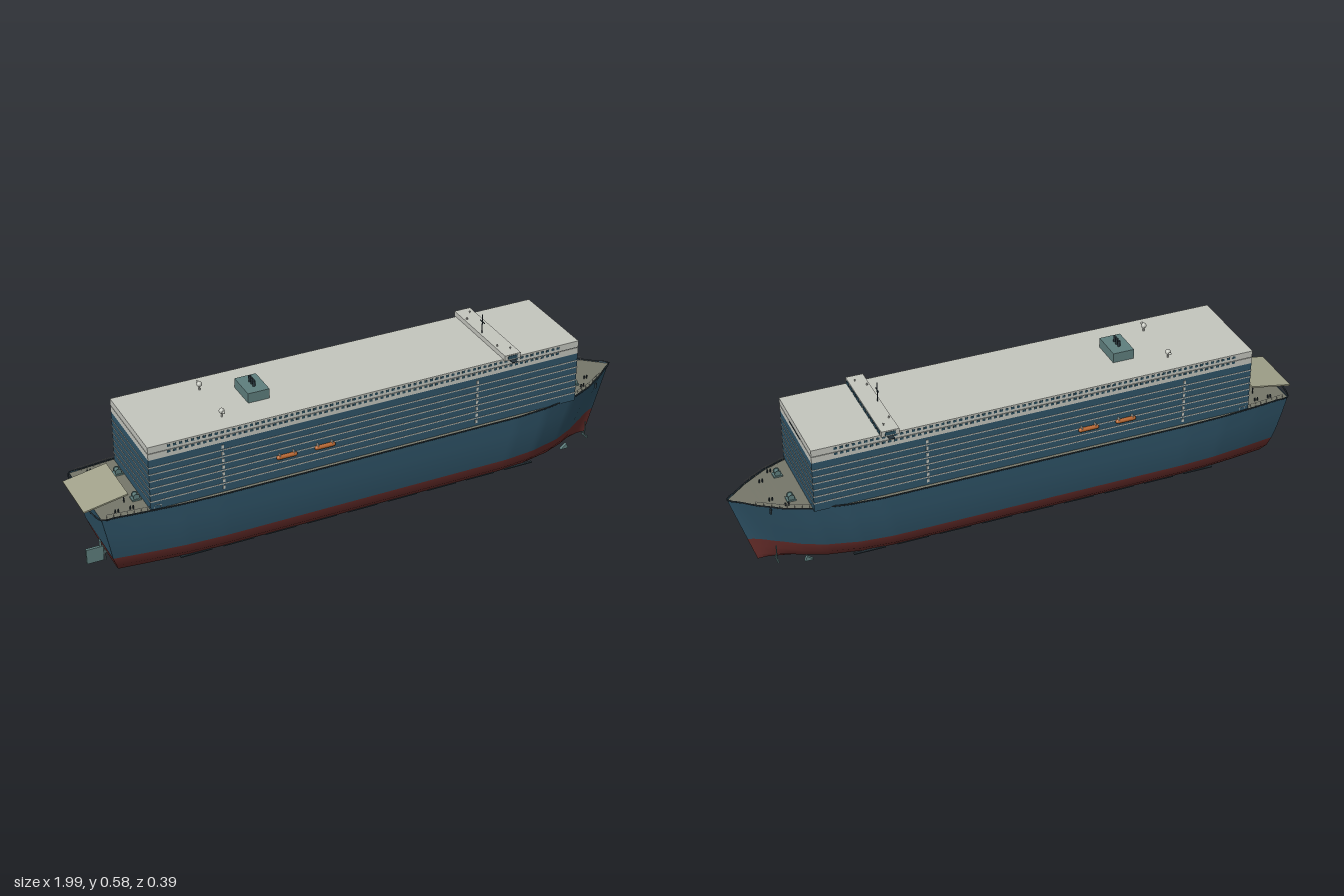
import * as THREE from 'three';
import { mergeGeometries } from 'three/addons/utils/BufferGeometryUtils.js';

const paint = (color) => new THREE.MeshStandardMaterial({ color, side: THREE.DoubleSide });
const BLUE = paint(0x2f5468), RED = paint(0x6b2f2c), DECK = paint(0x76776a), WHITE = paint(0xc4c6be);
const TEAL = paint(0x5f7f7e), DARK = paint(0x26333a), ORANGE = paint(0xb5652f), RAMP = paint(0xa3a48c);
const GLASS = paint(0x2c4e5e);

// Piecewise-linear lookup in a list of [key, value]
function lookup(table, k) {
  for (let i = 1; i < table.length; i++) {
    const [a, va] = table[i - 1], [b, vb] = table[i];
    if (k <= b) return va + (vb - va) * Math.max(0, (k - a) / (b - a));
  }
  return table[table.length - 1][1];
}

const TOP = 0.262;
const SECTION = [[0.002, 0], [0.005, 0.07], [0.02, 0.122], [0.055, 0.157], [0.09, 0.166], [0.14, 0.176], [0.2, 0.181], [TOP, 0.183]];
const PLAN = [[0, 0.84], [0.06, 0.91], [0.13, 0.975], [0.2, 1], [0.76, 1], [0.82, 0.95], [0.88, 0.82], [0.92, 0.64], [0.96, 0.36], [1, 0]];
const STERN = [[0, -0.89], [0.03, -0.902], [0.09, -0.924], [TOP, -0.96]];
const BOW = [[0, 0.905], [TOP, 0.99]];

// Point on the hull: t runs stern to bow, y is height, side is +1 or -1
function hullPoint(t, y, side) {
  const x0 = lookup(STERN, y), x1 = lookup(BOW, y);
  const fine = Math.pow(lookup(PLAN, t), 1 + (TOP - y) * 2.2);
  return new THREE.Vector3(x0 + (x1 - x0) * t, y, side * lookup(SECTION, y) * fine);
}

// Surface through a grid of points
function grid(nu, nv, fn) {
  const pos = [], idx = [];
  for (let i = 0; i <= nu; i++) for (let j = 0; j <= nv; j++) pos.push(...fn(i / nu, j / nv).toArray());
  for (let i = 0; i < nu; i++) for (let j = 0; j < nv; j++) {
    const a = i * (nv + 1) + j, b = a + nv + 1;
    idx.push(a, b, a + 1, b, b + 1, a + 1);
  }
  const g = new THREE.BufferGeometry();
  g.setAttribute('position', new THREE.Float32BufferAttribute(pos, 3));
  g.setIndex(idx);
  g.computeVertexNormals();
  return g;
}

const boxGeo = (w, h, d, x, y, z) => new THREE.BoxGeometry(w, h, d).translate(x, y, z);
const rod = (r, h, x, y, z, n = 8) => new THREE.CylinderGeometry(r, r, h, n).translate(x, y, z);

export function createModel() {
  const ship = new THREE.Group();
  ship.name = 'carCarrierShip';
  const add = (name, geo, mat) => {
    const m = new THREE.Mesh(Array.isArray(geo) ? mergeGeometries(geo) : geo, mat);
    m.name = name;
    ship.add(m);
    return m;
  };

  // Hull sides and transom in two paint bands
  const bands = [['lowerHull', RED, SECTION.slice(0, 5)], ['upperHull', BLUE, SECTION.slice(4)]];
  for (const [name, mat, rows] of bands) {
    const n = rows.length - 1;
    const yAt = (v) => rows[Math.round(v * n)][0];
    add(name + 'Left', grid(100, n, (u, v) => hullPoint(u, yAt(v), 1)), mat);
    add(name + 'Right', grid(100, n, (u, v) => hullPoint(1 - u, yAt(v), -1)), mat);
    add(name + 'Transom', grid(1, n, (u, v) => hullPoint(0, yAt(v), u * 2 - 1)), mat);
  }

  // Main deck and the rim around it
  add('mainDeck', grid(100, 1, (u, v) => hullPoint(u, TOP - 0.003, 1 - v * 2)), DECK);
  const rim = [];
  for (let i = 0; i <= 50; i++) rim.push(hullPoint(i / 50, TOP, 1));
  for (let i = 49; i >= 0; i--) rim.push(hullPoint(i / 50, TOP, -1));
  add('deckRim', new THREE.TubeGeometry(new THREE.CatmullRomCurve3(rim, true), 220, 0.0028, 5, true), DARK);

  // Car decks: blue walls separated by pale slabs
  const X0 = -0.8, X1 = 0.75, MID = (X0 + X1) / 2, LEN = X1 - X0;
  add('cargoHouse', boxGeo(LEN, 0.186, 0.33, MID, 0.351, 0), BLUE);
  const slabs = [];
  for (let y = 0.289; y < 0.44; y += 0.0252) slabs.push(boxGeo(LEN + 0.003, 0.0035, 0.333, MID, y, 0));
  add('deckSlabs', slabs, WHITE);
  add('upperDecks', [boxGeo(LEN, 0.0225, 0.332, MID, 0.4545, 0), boxGeo(LEN, 0.023, 0.332, MID, 0.4795, 0)], WHITE);
  add('upperDeckGap', boxGeo(LEN - 0.006, 0.004, 0.327, MID, 0.467, 0), DARK);
  add('houseFrontSlot', boxGeo(0.004, 0.003, 0.11, X1, 0.467, 0), DARK);

  // Cabin windows and pale vertical door columns
  const windows = [], doors = [];
  for (const s of [-1, 1]) {
    for (const y of [0.481, 0.461])
      for (let x = -0.73; x < 0.69; x += 0.02) windows.push(boxGeo(0.011, 0.008, 0.003, x, y, s * 0.1655));
    for (const x of [-0.55, 0.365])
      for (let k = 0; k < 7; k++) doors.push(boxGeo(0.008, 0.012, 0.003, x, 0.276 + k * 0.0252, s * 0.1655));
  }
  add('cabinWindows', windows, GLASS);
  add('sideDoors', doors, WHITE);

  // Bridge with wraparound glazing, wings and mast
  add('bridge', boxGeo(0.06, 0.02, 0.35, 0.49, 0.498, 0), WHITE);
  const panes = [];
  for (let k = 0; k < 10; k++) panes.push(boxGeo(0.004, 0.013, 0.025, 0.52, 0.498, (k - 4.5) * 0.0333));
  for (const s of [-1, 1]) panes.push(boxGeo(0.035, 0.012, 0.003, 0.49, 0.498, s * 0.175));
  add('bridgeWindows', panes, GLASS);
  add('bridgeWings', boxGeo(0.02, 0.002, 0.386, 0.49, 0.486, 0), DARK);
  add('mast', [rod(0.0018, 0.07, 0.47, 0.542, 0), boxGeo(0.003, 0.002, 0.03, 0.47, 0.55, 0)], DARK);
  const lamps = [];
  for (const s of [-1, 1]) {
    lamps.push(rod(0.001, 0.008, 0.5, 0.511, s * 0.14));
    lamps.push(new THREE.SphereGeometry(0.0028, 8, 6).translate(0.5, 0.514, s * 0.14));
    lamps.push(rod(0.003, 0.007, 0.47, 0.511, s * 0.105));
  }
  add('bridgeLamps', lamps, WHITE);

  // Funnel casing with three exhaust pipes
  add('funnelCasing', boxGeo(0.075, 0.035, 0.11, -0.375, 0.508, 0), TEAL);
  add('exhaustPipes', [-1, 0, 1].map((k) => rod(0.005, 0.022, -0.375, 0.535, k * 0.016, 12)), DARK);

  // Radomes on short posts
  const radomes = [];
  for (const s of [-1, 1]) {
    radomes.push(rod(0.003, 0.016, -0.52, 0.499, s * 0.093));
    radomes.push(new THREE.SphereGeometry(0.0095, 14, 10).translate(-0.52, 0.512, s * 0.093));
    radomes.push(new THREE.SphereGeometry(0.005, 10, 8).translate(-0.52, 0.513, s * 0.108));
  }
  add('radomes', radomes, WHITE);

  for (const s of [-1, 1]) {
    const side = s > 0 ? 'Left' : 'Right';
    // Lifeboats: capsule hulls hung from davits
    for (const x of [-0.333, -0.198]) {
      const boat = new THREE.CapsuleGeometry(0.0075, 0.058, 4, 10).rotateZ(Math.PI / 2);
      add('lifeboat' + side, boat.translate(x, 0.338, s * 0.173), ORANGE);
      add('davits' + side, [-0.025, 0.025].map((d) => boxGeo(0.003, 0.012, 0.016, x + d, 0.345, s * 0.17)), WHITE);
    }

    // Bilge keel in short lengths
    const keel = [];
    for (let k = 0; k < 9; k++) keel.push(boxGeo(0.11, 0.004, 0.008, -0.64 + k * 0.15, 0.023, s * 0.124));
    add('bilgeKeel' + side, keel, DARK);

    // Mooring winches and bollards fore and aft
    const winches = [], bollards = [];
    for (const [x, z] of [[0.8, 0.073], [-0.82, 0.082]]) {
      winches.push(boxGeo(0.03, 0.005, 0.028, x, 0.2625, s * z));
      winches.push(new THREE.CylinderGeometry(0.008, 0.008, 0.018, 12).rotateX(Math.PI / 2).translate(x, 0.272, s * z));
      for (const d of [-0.01, 0.01])
        winches.push(new THREE.CylinderGeometry(0.011, 0.011, 0.002, 12).rotateX(Math.PI / 2).translate(x, 0.272, s * z + d));
    }
    for (const [x, z] of [[0.86, 0.055], [0.82, 0.1], [-0.9, 0.13], [-0.85, 0.13]])
      for (const d of [-0.005, 0.005]) bollards.push(rod(0.0025, 0.012, x + d, 0.265, s * z));
    add('mooringWinches' + side, winches, TEAL);
    add('bollards' + side, bollards, DARK);

    // Open railings along the deck edge
    const rails = [];
    for (const [t0, t1] of [[0.01, 0.1], [0.87, 0.96]]) {
      const edge = [];
      for (let i = 0; i <= 8; i++) {
        const p = hullPoint(t0 + (t1 - t0) * i / 8, TOP, s);
        p.z *= 0.96;
        rails.push(rod(0.0007, 0.014, p.x, TOP + 0.005, p.z, 5));
        edge.push(p.setY(TOP + 0.012));
      }
      rails.push(new THREE.TubeGeometry(new THREE.CatmullRomCurve3(edge), 16, 0.0008, 5));
    }
    add('railing' + side, rails, WHITE);

    // Anchor on its chain, and the hawse pipe above
    const ax = 0.86;
    add('anchor' + side, [rod(0.002, 0.06, ax, 0.063, s * 0.074), boxGeo(0.006, 0.004, 0.032, ax, 0.036, s * 0.074),
      boxGeo(0.004, 0.012, 0.004, ax, 0.04, s * 0.074 + 0.014), boxGeo(0.004, 0.012, 0.004, ax, 0.04, s * 0.074 - 0.014)], TEAL);
    add('hawsePipe' + side, rod(0.004, 0.018, 0.875, 0.25, s * 0.1), DARK);

    // Stabiliser fin near the bow
    const fin = new THREE.Shape([[0, 0], [0.03, 0], [0.022, 0.018]].map((p) => new THREE.Vector2(...p)));
    add('stabiliserFin' + side, new THREE.ExtrudeGeometry(fin, { depth: 0.012, bevelEnabled: false })
      .translate(0.745, 0.026, s * 0.1 - 0.006), TEAL);
  }

  // Stern ramp, tilted down towards the stern
  const ramp = add('sternRamp', new THREE.BoxGeometry(0.152, 0.005, 0.2), RAMP);
  ramp.position.set(-0.924, 0.282, 0);
  ramp.rotation.z = 0.18;
  add('rampSupports', [-0.085, 0.085].map((z) => rod(0.002, 0.033, -0.86, 0.277, z)), DARK);

  // Rudder and propeller
  add('rudder', [boxGeo(0.058, 0.054, 0.01, -0.943, 0.031, 0), rod(0.004, 0.03, -0.922, 0.07, 0)], TEAL);
  const prop = [new THREE.CylinderGeometry(0.005, 0.005, 0.03, 10).rotateZ(Math.PI / 2).translate(-0.905, 0.03, 0)];
  for (let k = 0; k < 4; k++)
    prop.push(new THREE.BoxGeometry(0.002, 0.022, 0.01).rotateY(0.5).translate(0, 0.013, 0)
      .rotateX(k * Math.PI / 2 + Math.PI / 4).translate(-0.91, 0.03, 0));
  add('propeller', prop, TEAL);

  return ship;
}
